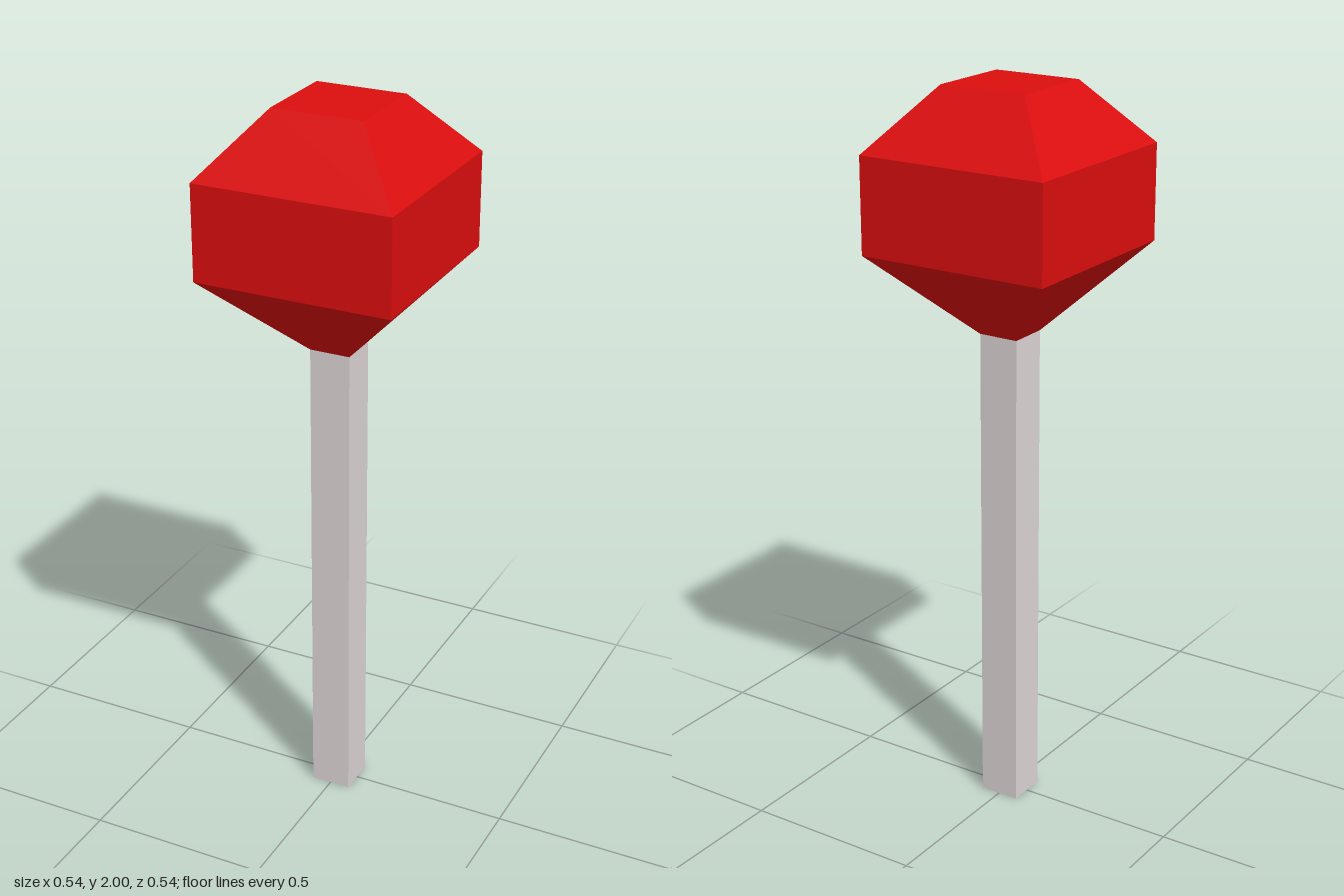
import * as THREE from 'three';

// Square-section solid from a profile of [half width, height], with flat faces
function squareLathe(profile) {
  const points = profile.map(([half, y]) => new THREE.Vector2(half * Math.SQRT2, y));
  const geometry = new THREE.LatheGeometry(points, 4, Math.PI / 4).toNonIndexed();
  geometry.computeVertexNormals();
  return geometry;
}

export function createModel() {
  const red = new THREE.MeshStandardMaterial({ color: 0xdc0e0e });
  red.name = 'red';
  const paleGrey = new THREE.MeshStandardMaterial({ color: 0xdcd4d4 });
  paleGrey.name = 'paleGrey';

  const group = new THREE.Group();
  group.name = 'squareHeadedStick';

  // Square stick
  const height = 1.35;
  const stick = new THREE.Mesh(new THREE.BoxGeometry(0.112, height, 0.112), paleGrey);
  stick.name = 'stick';
  stick.position.y = height / 2;
  group.add(stick);

  // Faceted head: flared base, straight sides, tapered flat top
  const head = new THREE.Mesh(squareLathe([
    [0, 1.35], [0.056, 1.35], [0.27, 1.575], [0.27, 1.832], [0.124, 2], [0, 2],
  ]), red);
  head.name = 'head';
  group.add(head);

  return group;
}
